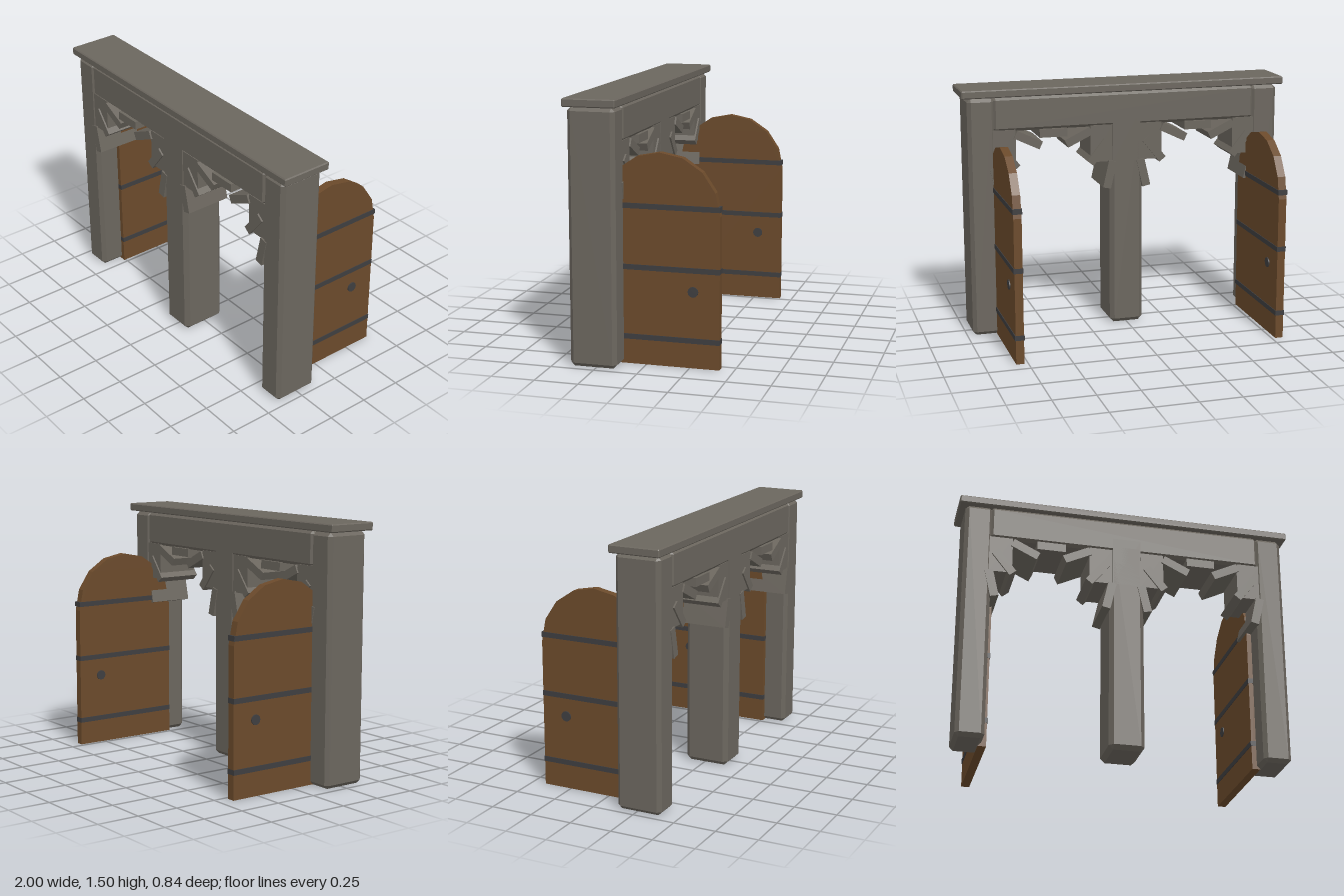
import * as THREE from 'three';
import { ConvexGeometry } from 'three/addons/geometries/ConvexGeometry.js';

const mat = (name, color) => new THREE.MeshStandardMaterial({ name, color });

// Box with flat 45 degree chamfers, given as min/max ranges
function chamferBox([x0, x1], [y0, y1], [z0, z1], c) {
  const h = [(x1 - x0) / 2, (y1 - y0) / 2, (z1 - z0) / 2];
  const pts = [];
  for (const sx of [-1, 1]) for (const sy of [-1, 1]) for (const sz of [-1, 1])
    for (let face = 0; face < 3; face++) {
      const d = h.map((v, i) => (i === face ? v : v - c));
      pts.push(new THREE.Vector3(sx * d[0], sy * d[1], sz * d[2]));
    }
  return new ConvexGeometry(pts).translate((x0 + x1) / 2, (y0 + y1) / 2, (z0 + z1) / 2);
}

export function createModel() {
  const stone = mat('stone', 0x6b665e);
  const wood = mat('wood', 0x6b4a2b);
  const iron = mat('iron', 0x3e3e40);
  const model = new THREE.Group();
  model.name = 'doubleGateway';

  const add = (parent, name, geometry, material) => {
    const mesh = new THREE.Mesh(geometry, material);
    mesh.name = name;
    parent.add(mesh);
    return mesh;
  };

  // Posts, lintel and cap
  const depth = [0.13, 0.4];
  add(model, 'rightPost', chamferBox([-0.965, -0.8], [0, 1.45], depth, 0.022), stone);
  add(model, 'leftPost', chamferBox([0.8, 0.965], [0, 1.45], depth, 0.022), stone);
  add(model, 'middlePost', chamferBox([-0.103, 0.103], [0, 1.3], depth, 0.025), stone);
  add(model, 'middlePier', new THREE.BoxGeometry(0.17, 0.3, 0.27).translate(0, 1.18, 0.265), stone);
  add(model, 'lintel', chamferBox([-0.815, 0.815], [1.247, 1.452], depth, 0.018), stone);
  add(model, 'cap', chamferBox([-1, 1], [1.453, 1.5], [0.113, 0.415], 0.006), stone);

  // Two arches of seven slabs, with square fillers in the corners
  const radius = 0.355, springY = 0.87;
  for (const side of [-1, 1]) {
    const arch = new THREE.Group();
    arch.name = side < 0 ? 'rightArch' : 'leftArch';
    arch.position.set(side * 0.452, 0, 0.265);
    model.add(arch);
    for (let i = 0; i < 7; i++) {
      const a = ((i + 0.5) * Math.PI) / 7;
      const slab = add(arch, 'archStone', new THREE.BoxGeometry(0.17, 0.05, 0.28), stone);
      slab.position.set(radius * Math.cos(a), springY + radius * Math.sin(a), 0);
      slab.rotation.z = Math.PI / 2 - a; // slabs lean inward
    }
    for (const s of [-1, 1]) {
      const filler = add(arch, 'cornerFiller', new THREE.BoxGeometry(0.137, 0.225, 0.26), stone);
      filler.position.set(s * 0.297, 1.1425, 0);
    }
  }

  // Round-topped doors swung open towards the back
  const shape = new THREE.Shape();
  shape.moveTo(-0.34, 0);
  shape.lineTo(0.34, 0);
  for (let i = 0; i <= 8; i++) {
    const a = (i * Math.PI) / 8;
    shape.lineTo(0.34 * Math.cos(a), 0.86 + 0.34 * Math.sin(a));
  }
  const panel = new THREE.ExtrudeGeometry(shape, { depth: 0.048, bevelEnabled: false });
  panel.translate(0, 0, -0.024).rotateY(Math.PI / 2);

  for (const side of [-1, 1]) {
    const door = new THREE.Group();
    door.name = side < 0 ? 'rightDoor' : 'leftDoor';
    door.position.set(side * 0.796, 0, -0.08);
    model.add(door);
    add(door, 'doorPanel', panel, wood);
    for (const y of [0.157, 0.555, 0.9])
      add(door, 'ironBand', new THREE.BoxGeometry(0.056, 0.03, 0.682).translate(0, y, 0), iron);
    const knob = add(door, 'doorKnob', new THREE.CylinderGeometry(0.03, 0.03, 0.062, 12), iron);
    knob.rotation.z = Math.PI / 2;
    knob.position.set(0, 0.435, -0.19);
  }
  return model;
}
